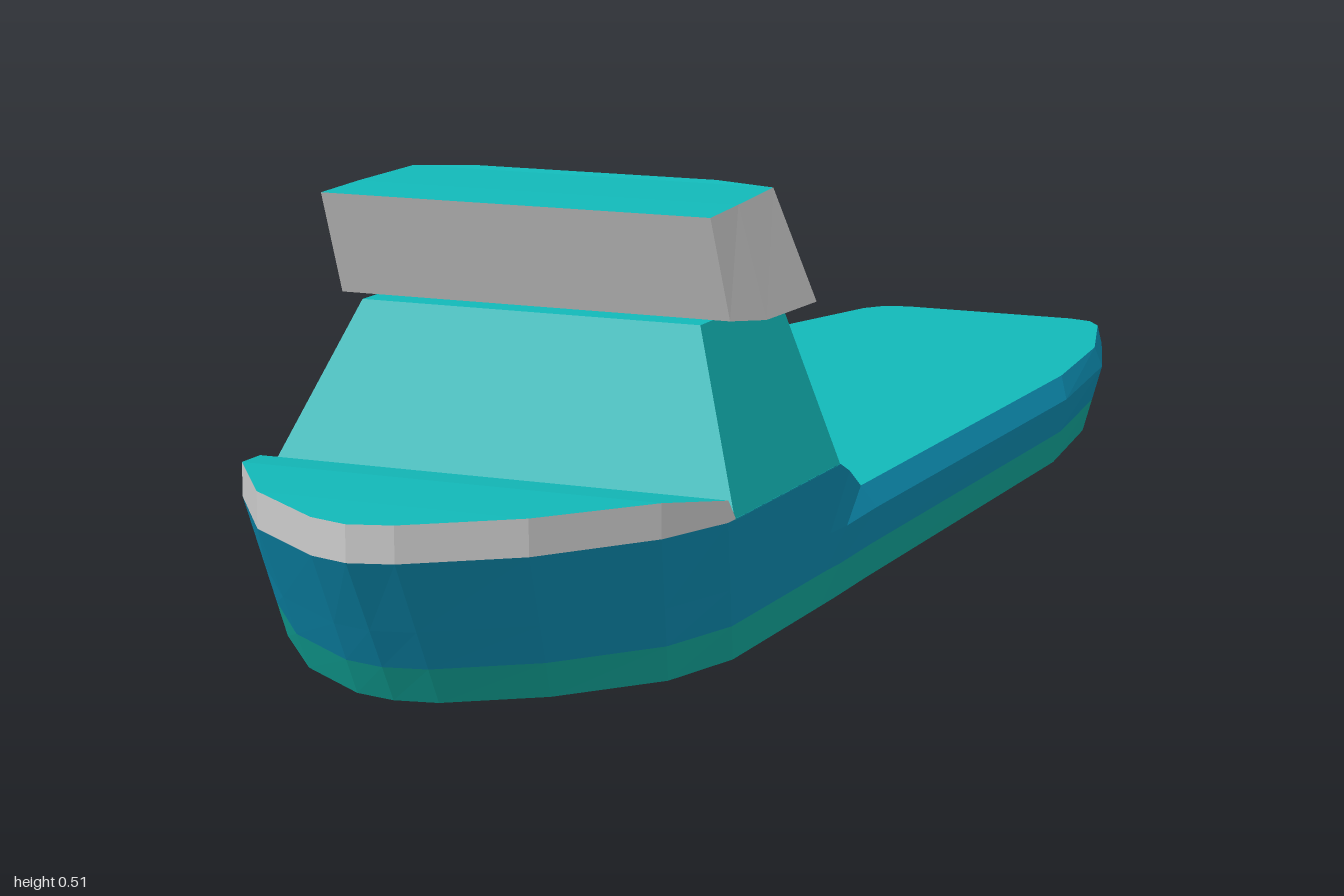
import * as THREE from 'three';

const TEAL = 0x12b8b8, GREEN = 0x11a498, BLUE = 0x0c8aae, GREY = 0xcccccc;

// Flat-shaded mesh from a list of quads (corners counter-clockwise from outside)
function quadMesh(name, color, quads) {
  const pos = [];
  const v = p => new THREE.Vector3(...p);
  for (const [a, b, c, d] of quads) {
    for (const tri of [[a, b, c], [a, c, d]]) {
      const area = new THREE.Triangle(...tri.map(v)).getArea();
      if (area > 1e-7) pos.push(...tri.flat());
    }
  }
  const geo = new THREE.BufferGeometry();
  geo.setAttribute('position', new THREE.Float32BufferAttribute(pos, 3));
  geo.computeVertexNormals();
  const mesh = new THREE.Mesh(geo, new THREE.MeshStandardMaterial({ color, flatShading: true }));
  mesh.name = name;
  return mesh;
}

const mirror = ([x, y, z]) => [-x, y, z];
const lerp = (a, b, t) => a.map((n, i) => n + (b[i] - n) * t);

// Closed ring from a half outline that runs bow to stern on +x
const ring = half => [...half, ...half.filter(p => p[0] > 0).map(mirror).reverse()];

// Walls between two half outlines
function wall(lowHalf, highHalf) {
  const low = ring(lowHalf), high = ring(highHalf), n = low.length;
  return low.map((p, i) => [p, low[(i + 1) % n], high[(i + 1) % n], high[i]]);
}

// Surface spanning a half outline and its mirror image
function cap(half, up = true) {
  return half.slice(1).map((q, i) => {
    const p = half[i];
    const quad = [p, q, mirror(q), mirror(p)];
    return up ? quad : quad.reverse();
  });
}

export function createModel() {
  const ship = new THREE.Group();
  ship.name = 'ship';

  // Forward hull: keel outline [x, z] and rim outline [x, z]
  const fore = [
    [[0, 0.9], [0, 1]],
    [[0.05, 0.89], [0.05, 0.985]],
    [[0.15, 0.82], [0.165, 0.9]],
    [[0.24, 0.71], [0.26, 0.77]],
    [[0.27, 0.6], [0.295, 0.67]],
    [[0.27, 0.34], [0.295, 0.34]],
  ].map(([b, t]) => {
    const keel = [b[0], 0, b[1]], rim = [t[0], 0.175, t[1]];
    return [keel, lerp(keel, rim, 0.09 / 0.175), rim];
  });

  // Aft hull: keel, knuckle and rim outlines, with the deck ramp first
  const aft = [
    [[0.27, 0.295], [0.286, 0.295], [0.289, 0.295, 0.157]],
    [[0.268, 0.19], [0.283, 0.19], [0.262, 0.19, 0.115]],
    [[0.265, -0.53], [0.283, -0.53], [0.262, -0.57, 0.115]],
    [[0.235, -0.75], [0.253, -0.78], [0.238, -0.79, 0.115]],
    [[0.18, -0.91], [0.197, -0.95], [0.187, -0.96, 0.115]],
    [[0.15, -0.94], [0.167, -0.98], [0.165, -0.99, 0.115]],
    [[0.12, -0.95], [0.13, -0.988], [0.13, -1, 0.115]],
  ].map(([b, k, t]) => [[b[0], 0, b[1]], [k[0], 0.09, k[1]], [t[0], t[2], t[1]]]);

  const stations = [...fore, ...aft];
  const keel = stations.map(s => s[0]);
  const knuckle = stations.map(s => s[1]);
  const rim = stations.map(s => s[2]);
  const waterline = stations.map(s => lerp(s[0], s[1], 0.48));

  ship.add(
    quadMesh('lowerHull', GREEN, [...cap(keel, false), ...wall(keel, waterline)]),
    quadMesh('upperHull', BLUE, [...wall(waterline, knuckle), ...wall(knuckle, rim)]),
    quadMesh('deck', TEAL, cap(rim)),
  );

  // Raised bow: grey bulwark under a teal foredeck
  const bowLow = [...rim.slice(0, 5), [0.295, 0.175, 0.65]];
  const bowHeights = [0.217, 0.217, 0.217, 0.215, 0.2, 0.176];
  const bowHigh = bowLow.map(([x, , z], i) => [x, bowHeights[i], z]);
  ship.add(
    quadMesh('bowBulwark', GREY, wall(bowLow, bowHigh)),
    quadMesh('foredeck', TEAL, cap(bowHigh)),
  );

  // Tapered deckhouse
  const houseLow = [[0.295, 0.174, 0.652], [0.295, 0.174, 0.34]];
  const houseHigh = [[0.215, 0.372, 0.565], [0.215, 0.372, 0.34]];
  ship.add(quadMesh('deckhouse', TEAL, [...wall(houseLow, houseHigh), ...cap(houseHigh)]));

  // Bridge with raked windows, teal floor and roof
  const bridgeLow = [[0.247, 0.377, 0.555], [0.268, 0.371, 0.5], [0.268, 0.368, 0.35], [0.22, 0.368, 0.342]];
  const bridgeHigh = [[0.245, 0.501, 0.605], [0.242, 0.504, 0.52], [0.234, 0.507, 0.4], [0.155, 0.509, 0.383]];
  ship.add(
    quadMesh('bridgeWindows', GREY, wall(bridgeLow, bridgeHigh)),
    quadMesh('bridgeFloor', TEAL, cap(bridgeLow, false)),
    quadMesh('bridgeRoof', TEAL, cap(bridgeHigh)),
  );

  return ship;
}
